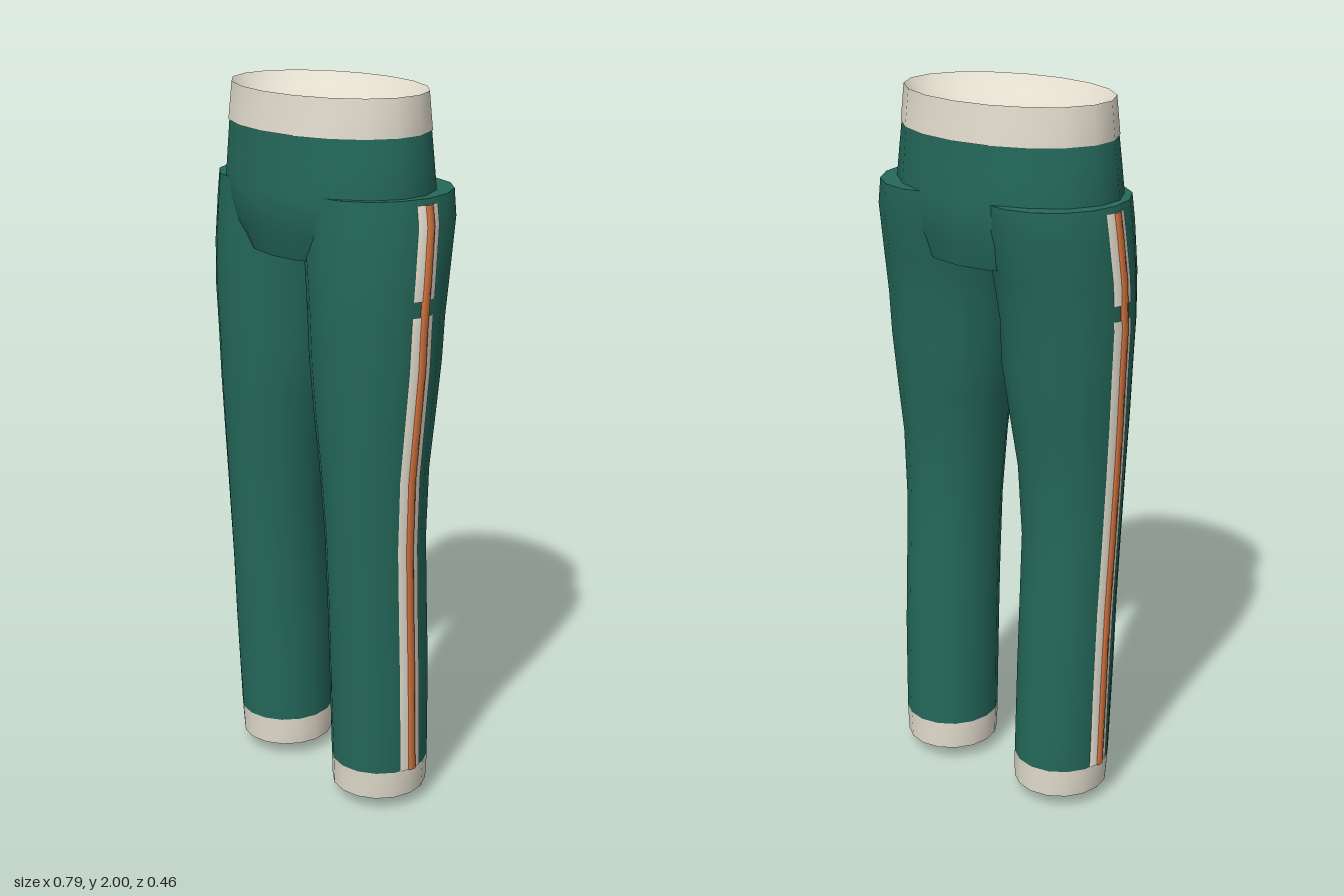
import * as THREE from 'three';

const mat = (name, color, side = THREE.FrontSide) => {
  const m = new THREE.MeshStandardMaterial({ color, side });
  m.name = name;
  return m;
};

// Smooth skin over elliptical rings [y, cx, cz, rx, rz]; a zero radius closes the end
function loft(rings, sides, phase = 0) {
  const pos = [], idx = [];
  for (const [y, cx, cz, rx, rz] of rings) {
    for (let i = 0; i < sides; i++) {
      const a = ((i + phase) / sides) * Math.PI * 2;
      pos.push(cx + rx * Math.cos(a), y, cz + rz * Math.sin(a));
    }
  }
  for (let r = 0; r < rings.length - 1; r++) {
    for (let i = 0; i < sides; i++) {
      const j = (i + 1) % sides, b = r * sides, t = b + sides;
      idx.push(b + i, t + i, b + j, b + j, t + i, t + j);
    }
  }
  return finish(pos, idx);
}

function finish(pos, idx) {
  const g = new THREE.BufferGeometry();
  g.setAttribute('position', new THREE.Float32BufferAttribute(pos, 3));
  g.setIndex(idx);
  g.computeVertexNormals();
  return g;
}

// Leg outline from hem to hip: [y, inner x, outer x, back z, front z]
const legProfile = [
  [0.12, 0.075, 0.345, -0.15, 0.125],
  [0.4, 0.08, 0.347, -0.147, 0.14],
  [0.6, 0.08, 0.348, -0.137, 0.147],
  [0.8, 0.078, 0.352, -0.126, 0.156],
  [1.0, 0.062, 0.36, -0.131, 0.167],
  [1.15, 0.04, 0.37, -0.15, 0.176],
  [1.3, 0.02, 0.379, -0.168, 0.182],
  [1.42, 0.017, 0.384, -0.174, 0.187],
  [1.55, 0.004, 0.385, -0.195, 0.19],
  [1.68, -0.015, 0.378, -0.224, 0.19],
  [1.75, -0.02, 0.367, -0.226, 0.19],
];

// Outer edge of the leg at any height
function legSide(y) {
  let k = 0;
  while (k < legProfile.length - 2 && legProfile[k + 1][0] < y) k++;
  const a = legProfile[k], b = legProfile[k + 1], t = (y - a[0]) / (b[0] - a[0]);
  const mix = (i) => a[i] + (b[i] - a[i]) * t;
  return { x: mix(2), z: (mix(3) + mix(4)) / 2 };
}

// Thin band following the outer side of a leg
function stripe(side, y0, y1, half, lift) {
  const pos = [], idx = [];
  const heights = [y0, ...legProfile.map((p) => p[0]).filter((y) => y > y0 && y < y1), y1];
  heights.forEach((y, r) => {
    const { x, z } = legSide(y);
    const edge = x + lift - half * 0.2;
    const shape = [[x - 0.015, -half], [edge, -half], [x + lift, 0], [edge, half], [x - 0.015, half]];
    for (const [px, dz] of shape) pos.push(side * px, y, z + dz);
    if (r === 0) return;
    for (let i = 0; i < 4; i++) {
      const b = (r - 1) * 5 + i, t = b + 5;
      if (side > 0) idx.push(b, t, b + 1, b + 1, t, t + 1);
      else idx.push(b, b + 1, t, b + 1, t + 1, t);
    }
  });
  return finish(pos, idx);
}

export function createModel() {
  const green = mat('green cloth', 0x24685a);
  const cream = mat('cream trim', 0xe2dccd);
  const creamOpen = mat('cream stripe', 0xe2dccd, THREE.DoubleSide);
  const orange = mat('orange piping', 0xd0703a, THREE.DoubleSide);
  const model = new THREE.Group();
  model.name = 'trousers';

  const add = (parent, name, geometry, material) => {
    const m = new THREE.Mesh(geometry, material);
    m.name = name;
    parent.add(m);
  };

  // Waistband with a hollow, dished inside
  add(model, 'waistband', loft([[1.9, 0, 0, 0.322, 0.227], [2, 0, 0, 0.312, 0.217]], 18, 0.5), cream);
  add(model, 'waistInside', loft([
    [2, 0, 0, 0.312, 0.217], [1.96, 0, 0, 0.27, 0.185], [1.93, 0, 0, 0.19, 0.13],
    [1.912, 0, 0, 0.09, 0.06], [1.91, 0, 0, 0, 0],
  ], 18, 0.5), cream);

  // Hips and seat, closed flat below between the legs
  const seatEnd = [1.57, 0, -0.005, 0.25, 0.2];
  add(model, 'hips', loft([
    seatEnd, [1.64, 0, -0.002, 0.315, 0.219], [1.7, 0, 0, 0.335, 0.229],
    [1.75, 0, 0, 0.342, 0.229], [1.83, 0, 0, 0.331, 0.226], [1.9, 0, 0, 0.32, 0.224],
  ], 18, 0.5), green);
  add(model, 'seatBottom', loft([[1.57, 0, 0, 0, 0], seatEnd], 18, 0.5), green);

  for (const side of [-1, 1]) {
    const leg = new THREE.Group();
    leg.name = side > 0 ? 'leftLeg' : 'rightLeg';
    model.add(leg);

    // Trouser leg and its flat top
    const rings = legProfile.map(([y, xi, xo, zb, zf]) =>
      [y, side * (xi + xo) / 2, (zb + zf) / 2, (xo - xi) / 2, (zf - zb) / 2]);
    const top = rings[rings.length - 1];
    add(leg, 'legCloth', loft(rings, 16), green);
    add(leg, 'legTop', loft([top, [1.75, top[1], top[2], 0, 0]], 16), green);

    // Cuff with a shallow pointed underside
    const hem = [0.04, side * 0.208, -0.014, 0.132, 0.135];
    add(leg, 'cuff', loft([hem, [0.122, side * 0.21, -0.0125, 0.1355, 0.138]], 16), cream);
    add(leg, 'cuffBottom', loft([[0, side * 0.205 + 0.025, -0.03, 0, 0], hem], 16), cream);

    // Side stripe in two lengths, with piping down the middle
    add(leg, 'lowerStripe', stripe(side, 0.122, 1.45, 0.034, 0.004), creamOpen);
    add(leg, 'upperStripe', stripe(side, 1.49, 1.735, 0.034, 0.004), creamOpen);
    add(leg, 'piping', stripe(side, 0.122, 1.735, 0.011, 0.008), orange);
  }
  return model;
}
